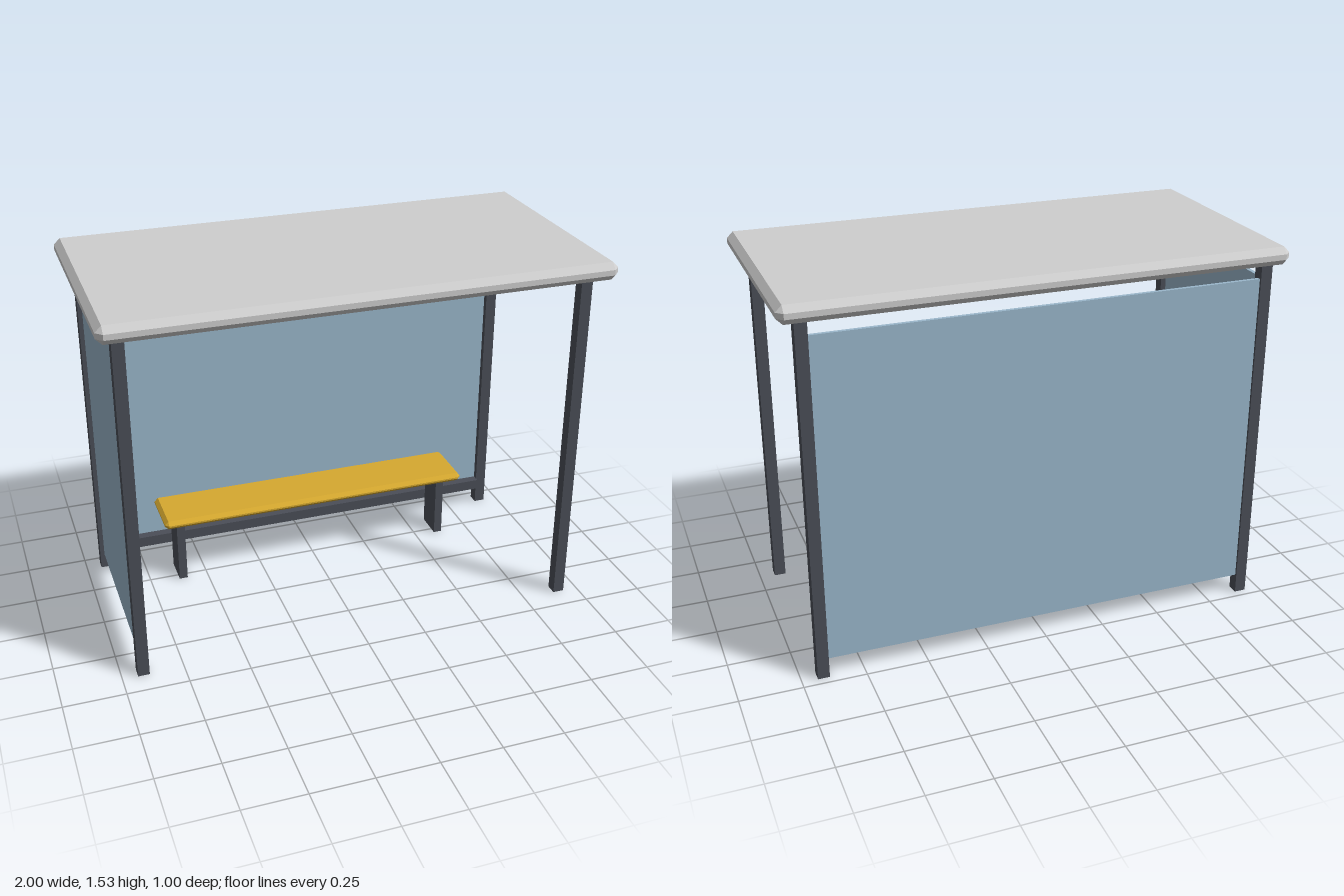
import * as THREE from 'three';
import { ConvexGeometry } from 'three/addons/geometries/ConvexGeometry.js';

const mat = (name, color) => {
  const m = new THREE.MeshStandardMaterial({ color });
  m.name = name;
  return m;
};

// Box with every edge chamfered by c
function chamferedBox(w, h, d, c) {
  const points = [];
  for (const sx of [-1, 1]) for (const sy of [-1, 1]) for (const sz of [-1, 1]) {
    const x = w / 2, y = h / 2, z = d / 2;
    points.push(
      new THREE.Vector3(sx * x, sy * (y - c), sz * (z - c)),
      new THREE.Vector3(sx * (x - c), sy * y, sz * (z - c)),
      new THREE.Vector3(sx * (x - c), sy * (y - c), sz * z)
    );
  }
  return new ConvexGeometry(points);
}

export function createModel() {
  const model = new THREE.Group();
  model.name = 'busShelter';

  const frame = mat('darkFrame', 0x4a4e57);
  const glass = mat('blueGlass', 0x9ab7cb);
  const roofGrey = mat('roofGrey', 0xcecece);
  const yellow = mat('benchYellow', 0xd6a92f);

  const add = (name, geometry, material, x, y, z) => {
    const mesh = new THREE.Mesh(geometry, material);
    mesh.name = name;
    mesh.position.set(x, y, z);
    model.add(mesh);
  };
  // Plain box given by its lower and upper limits
  const box = (name, material, [x0, x1], [y0, y1], [z0, z1]) =>
    add(name, new THREE.BoxGeometry(x1 - x0, y1 - y0, z1 - z0), material,
      (x0 + x1) / 2, (y0 + y1) / 2, (z0 + z1) / 2);

  // Roof slab
  add('roof', chamferedBox(2, 0.072, 1, 0.025), roofGrey, 0, 1.496, 0);

  // Corner posts and bench legs, mirrored left and right
  for (const [side, s] of [['left', 1], ['right', -1]]) {
    const px = s * 0.914, lx = s * 0.608;
    box(side + 'FrontPost', frame, [px - 0.0235, px + 0.0235], [0, 1.462], [0.36, 0.407]);
    box(side + 'BackPost', frame, [px - 0.0235, px + 0.0235], [0, 1.462], [-0.467, -0.42]);
    box(side + 'BenchLeg', frame, [lx - 0.018, lx + 0.018], [0, 0.292], [-0.342, -0.218]);
  }

  // Bottom rail in front of the back panel
  box('backRail', frame, [-0.891, 0.891], [0.08, 0.126], [-0.445, -0.404]);

  // Glass panels: full back and the right side only
  box('backPanel', glass, [-0.891, 0.891], [0.079, 1.405], [-0.458, -0.443]);
  box('rightPanel', glass, [-0.922, -0.906], [0.077, 1.405], [-0.402, 0.346]);

  // Bench seat
  add('benchSeat', chamferedBox(1.37, 0.038, 0.244, 0.0155), yellow, 0, 0.309, -0.279);

  return model;
}
